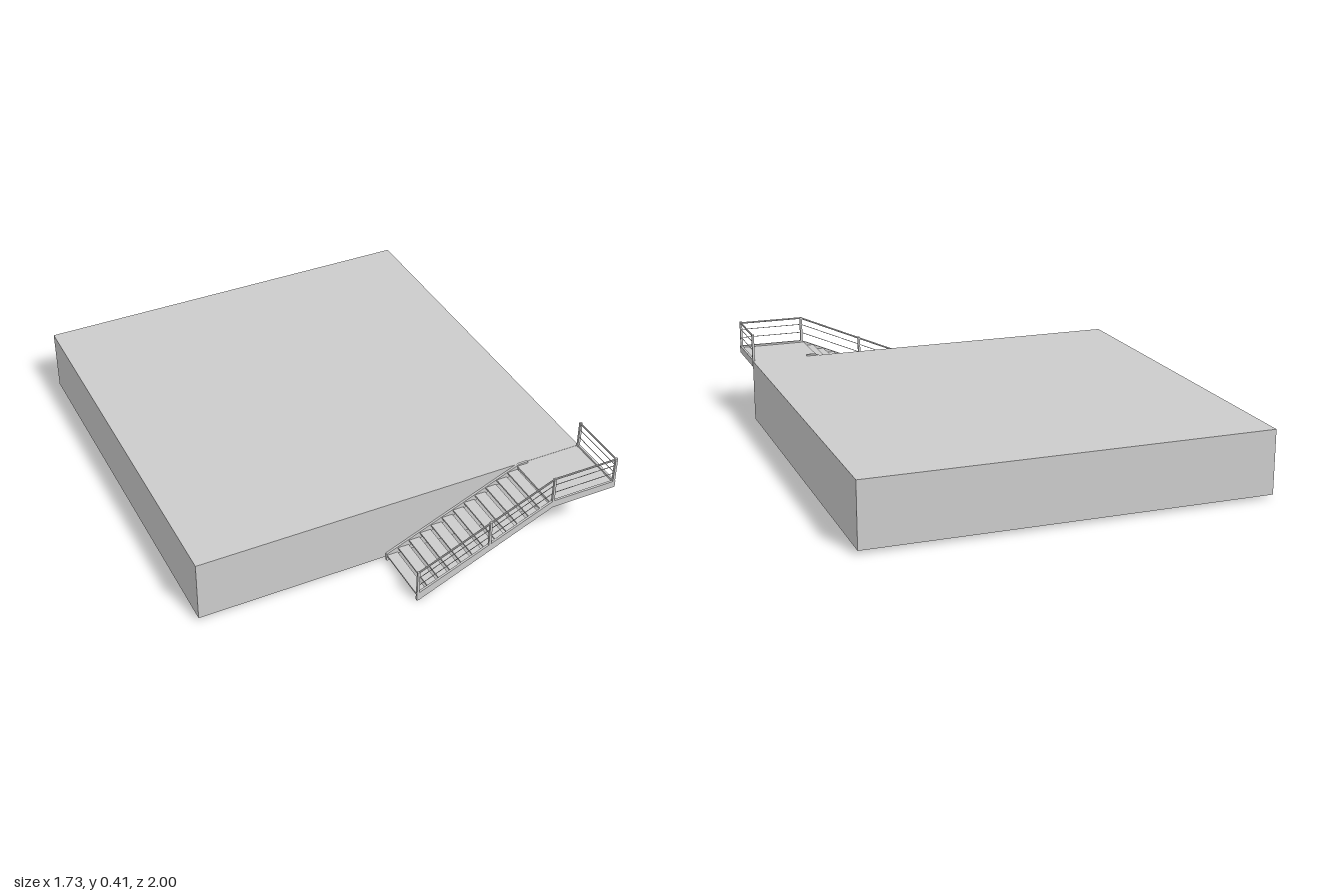
import * as THREE from 'three';

const material = new THREE.MeshStandardMaterial({ color: 0xcccccc, flatShading: true });
const shellMaterial = new THREE.MeshStandardMaterial({ color: 0xcccccc, flatShading: true, side: THREE.DoubleSide });

// Box given by its min and max corners
function box(name, x0, x1, y0, y1, z0, z1) {
  const mesh = new THREE.Mesh(new THREE.BoxGeometry(x1 - x0, y1 - y0, z1 - z0), material);
  mesh.position.set((x0 + x1) / 2, (y0 + y1) / 2, (z0 + z1) / 2);
  mesh.name = name;
  return mesh;
}

// Side profile in x, y extruded from z0 to z1
function plate(name, points, z0, z1) {
  const shape = new THREE.Shape(points.map(([x, y]) => new THREE.Vector2(x, y)));
  const geometry = new THREE.ExtrudeGeometry(shape, { depth: z1 - z0, bevelEnabled: false });
  geometry.translate(0, 0, z0);
  const mesh = new THREE.Mesh(geometry, material);
  mesh.name = name;
  return mesh;
}

// Thin round bar between two points
function bar(name, from, to, radius) {
  const a = new THREE.Vector3(...from), b = new THREE.Vector3(...to);
  const mesh = new THREE.Mesh(new THREE.CylinderGeometry(radius, radius, a.distanceTo(b), 8), material);
  mesh.position.copy(a).add(b).multiplyScalar(0.5);
  mesh.quaternion.setFromUnitVectors(new THREE.Vector3(0, 1, 0), b.sub(a).normalize());
  mesh.name = name;
  return mesh;
}

export function createModel() {
  const model = new THREE.Group();
  model.name = 'platformWithStairs';

  // Platform: thin shell, open underneath
  const shell = new THREE.BoxGeometry(1.732, 0.276, 1.727);
  const index = Array.from(shell.index.array);
  index.splice(18, 6);
  shell.setIndex(index);
  const platform = new THREE.Mesh(shell, shellMaterial);
  platform.position.set(-0.002, 0.152, -0.1365);
  platform.name = 'platformShell';
  model.add(platform);

  // Landing: deck with edge channels on the outer sides
  const landing = new THREE.Group();
  landing.name = 'landing';
  landing.add(
    box('landingDeck', 0.56, 0.86, 0.28, 0.289, 0.727, 0.99),
    box('frontEdge', 0.567, 0.866, 0.265, 0.297, 0.988, 0.998),
    box('sideEdge', 0.856, 0.866, 0.265, 0.297, 0.728, 0.988)
  );
  model.add(landing);

  // Stairs: two stringers and open treads
  const stairs = new THREE.Group();
  stairs.name = 'stairs';
  const incline = [[-0.04, 0], [-0.03, 0], [0.57, 0.265]];
  stairs.add(
    plate('outerStringer', [...incline, [0.57, 0.297], [-0.04, 0.035]], 0.988, 0.998),
    plate('innerStringer', [...incline, [0.61, 0.265], [0.61, 0.297], [0.57, 0.297], [-0.04, 0.035]], 0.728, 0.738)
  );
  for (let i = 0; i < 12; i++) {
    const x = -0.038 + i * 0.0502, y = 0.022 + i * 0.0221;
    stairs.add(box('tread', x, x + 0.048, y, y + 0.007, 0.738, 0.988));
  }
  model.add(stairs);

  // Railing: posts, handrail and two wires along slope, landing front and landing side
  const railing = new THREE.Group();
  railing.name = 'railing';
  const posts = [[-0.035, 0.03, 0.148, 0.993], [0.285, 0.172, 0.288, 0.993], [0.57, 0.28, 0.41, 0.993],
    [0.859, 0.28, 0.413, 0.993], [0.859, 0.28, 0.413, 0.733]];
  for (const [x, y0, y1, z] of posts) {
    railing.add(box('post', x - 0.005, x + 0.005, y0, y1, z - 0.005, z + 0.005));
  }
  const corners = [[-0.035, 0.034, 0.993], [0.57, 0.297, 0.993], [0.859, 0.297, 0.993], [0.859, 0.297, 0.733]];
  for (const [height, radius, name] of [[0.04, 0.0015, 'wire'], [0.079, 0.0015, 'wire'], [0.11, 0.004, 'handrail']]) {
    const path = corners.map(([x, y, z]) => [x, y + height, z]);
    for (let i = 0; i < 3; i++) railing.add(bar(name, path[i], path[i + 1], radius));
  }
  model.add(railing);

  return model;
}
